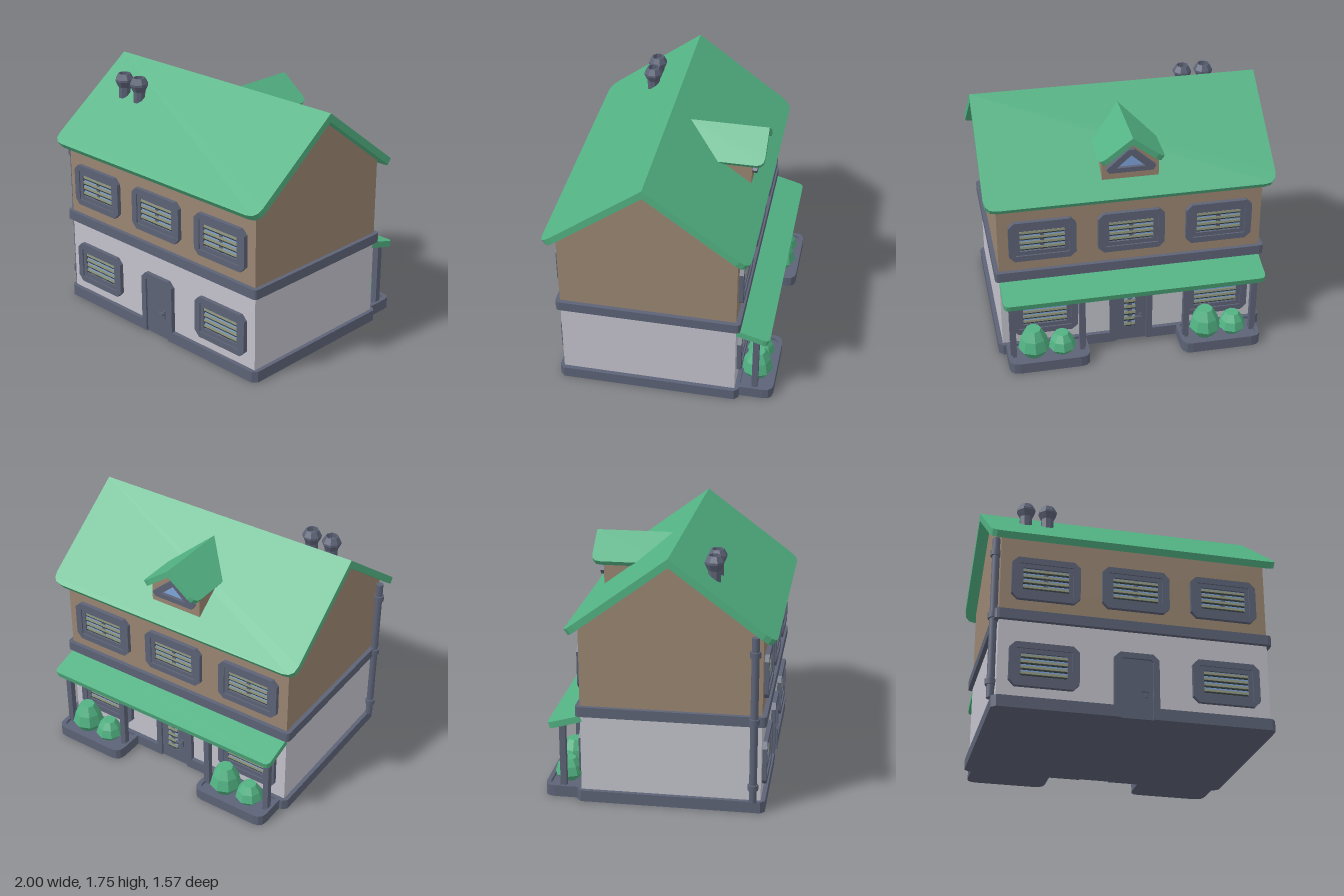
import * as THREE from 'three';

const mat = (name, color, side = THREE.FrontSide) => {
  const m = new THREE.MeshStandardMaterial({ color, side });
  m.name = name;
  return m;
};

export function createModel() {
  const green = mat('green', 0x52b283);
  const brown = mat('brown plaster', 0x9a8672);
  const white = mat('pale plaster', 0xc3c2cc);
  const grey = mat('slate grey', 0x5d6377);
  const glass = mat('glass blue', 0x7fa6dc);
  const slatMat = mat('blind olive', 0x8f957f);
  const dark = mat('blind shadow gap', 0x343d3c);

  const house = new THREE.Group();
  house.name = 'house';

  const add = (parent, name, geo, material, x = 0, y = 0, z = 0) => {
    const m = new THREE.Mesh(geo, material);
    m.name = name;
    m.position.set(x, y, z);
    parent.add(m);
    return m;
  };
  const group = (parent, name, x = 0, y = 0, z = 0) => {
    const g = new THREE.Group();
    g.name = name;
    g.position.set(x, y, z);
    parent.add(g);
    return g;
  };
  const box = (w, h, d) => new THREE.BoxGeometry(w, h, d);
  const poly = (pts) => new THREE.Shape(pts.map(([x, y]) => new THREE.Vector2(x, y)));
  const extrude = (shape, depth, curveSegments = 1) =>
    new THREE.ExtrudeGeometry(shape, { depth, bevelEnabled: false, curveSegments });
  // Flat plan shape (x, -z) raised upwards
  const plan = (shape, h) => extrude(shape, h, 3).rotateX(-Math.PI / 2);

  // Rectangle with bottom corners cut by c and top corners by d
  const rect = (x0, y0, x1, y1, c, d = c) => {
    const s = new THREE.Shape();
    s.moveTo(x0 + c, y0);
    s.lineTo(x1 - c, y0);
    if (c) s.quadraticCurveTo(x1, y0, x1, y0 + c);
    s.lineTo(x1, y1 - d);
    if (d) s.quadraticCurveTo(x1, y1, x1 - d, y1);
    s.lineTo(x0 + d, y1);
    if (d) s.quadraticCurveTo(x0, y1, x0, y1 - d);
    s.lineTo(x0, y0 + c);
    if (c) s.quadraticCurveTo(x0, y0, x0 + c, y0);
    return s;
  };
  const ring = (w, h, c, w2, h2, c2) => {
    const s = rect(-w, -h, w, h, c);
    s.holes.push(rect(-w2, -h2, w2, h2, c2));
    return s;
  };
  // Sloping roof sheet: top edge at the origin, falling towards +z
  const slab = (halfW, run, drop, t, c) =>
    extrude(rect(-halfW, -Math.hypot(run, drop), halfW, 0, c, 0), t, 3)
      .translate(0, 0, -t)
      .rotateX(Math.atan2(drop, run) - Math.PI / 2);

  // Walls
  add(house, 'lowerWalls', box(1.84, 0.61, 1.22), white, 0, 0.345, 0.09);
  const gable = poly([[-0.61, 0.65], [0.61, 0.65], [0.61, 1.245], [0, 1.698], [-0.61, 1.245]]);
  add(house, 'upperWalls', extrude(gable, 1.84).rotateY(Math.PI / 2), brown, -0.92, 0, 0.09);

  // Plinth, notched at both doors, and the band between the floors
  const plinth = poly([
    [-0.92, -0.64], [-0.11, -0.64], [-0.11, -0.61], [0.11, -0.61], [0.11, -0.64], [0.92, -0.64],
    [0.95, -0.61], [0.95, 0.61], [0.92, 0.64], [0.11, 0.64], [0.11, 0.61], [-0.11, 0.61],
    [-0.11, 0.64], [-0.92, 0.64], [-0.95, 0.61], [-0.95, -0.61],
  ]);
  add(house, 'plinth', plan(plinth, 0.08), grey, 0, 0, 0.09);
  add(house, 'floorBand', plan(rect(-0.95, -0.64, 0.95, 0.64, 0.03), 0.07), grey, 0, 0.62, 0.09);

  // Main roof
  for (const side of [0, 1]) {
    const r = add(house, side ? 'backRoof' : 'frontRoof', slab(1, 0.7, 0.52, 0.048, 0.085), green, 0, 1.75, 0.09);
    r.rotation.y = side * Math.PI;
  }

  // Glass with horizontal blinds
  const blinds = (parent, w, h, rows, mullion) => {
    add(parent, 'glass', box(w, h, 0.006), glass, 0, 0, 0.003);
    const step = h / rows;
    for (let i = 0; i < rows; i++) {
      const y = -h / 2 + step * (i + 0.5);
      add(parent, 'slat', box(w, step * 0.42, 0.007), slatMat, 0, y + step * 0.1, 0.0105).rotation.x = -0.12;
      add(parent, 'slatGap', box(w, step * 0.24, 0.005), dark, 0, y - step * 0.24, 0.0085);
    }
    if (mullion) add(parent, 'mullion', box(0.03, h, 0.007), grey, 0, 0, 0.007);
  };
  const windowAt = (parent, x, y, mullion) => {
    const g = group(parent, 'window', x, y);
    add(g, 'outerFrame', extrude(ring(0.232, 0.153, 0.04, 0.185, 0.11, 0), 0.03), grey);
    add(g, 'innerFrame', extrude(ring(0.186, 0.111, 0, 0.155, 0.08, 0), 0.02), grey);
    blinds(g, 0.312, 0.162, 4, mullion);
  };
  const doorAt = (parent, glazed) => {
    const g = group(parent, 'door');
    const frame = poly([
      [-0.153, 0], [-0.11, 0], [-0.11, 0.405], [-0.095, 0.42], [0.095, 0.42], [0.11, 0.405],
      [0.11, 0], [0.153, 0], [0.153, 0.42], [0.113, 0.46], [-0.113, 0.46], [-0.153, 0.42],
    ]);
    add(g, 'doorFrame', extrude(frame, 0.031), grey);
    add(g, 'doorPanel', box(0.22, 0.42, 0.016), grey, 0, 0.21, 0.008);
    add(g, 'handlePlate', box(0.022, 0.06, 0.01), grey, 0.065, 0.185, 0.02);
    add(g, 'handleLever', box(0.05, 0.016, 0.014), grey, 0.048, 0.193, 0.034);
    if (glazed) blinds(group(g, 'doorWindow', -0.01, 0.235, 0.016), 0.08, 0.25, 5, true);
  };

  // Both long faces, each built facing +z
  const front = group(house, 'frontFace', 0, 0, 0.7);
  const back = group(house, 'backFace', 0, 0, -0.52);
  back.rotation.y = Math.PI;
  for (const face of [front, back]) {
    for (const x of [-0.615, 0, 0.615]) windowAt(face, x, 0.927, true);
    for (const x of [-0.615, 0.615]) windowAt(face, x, 0.308, false);
    doorAt(face, face === back);
  }

  // Porch with planters, posts and bushes
  add(back, 'porchRoof', slab(0.92, 0.23, 0.065, 0.045, 0.04), green, 0, 0.615, 0);
  const bush = (parent, r, h, x) => {
    const pts = [[0.6, 0], [1, 0.3], [0.82, 0.68], [0.48, 1], [0, 1]].map(
      ([a, b]) => new THREE.Vector2(a * r, b * h));
    const geo = new THREE.LatheGeometry(pts, 8).toNonIndexed();
    geo.computeVertexNormals();
    add(parent, 'bush', geo, green, x, 0.06, 0.13);
  };
  for (const s of [-1, 1]) {
    const g = group(back, 'planter', s * 0.615);
    const rim = rect(-0.285, -0.265, 0.285, -0.02, 0.07, 0);
    rim.holes.push(rect(-0.255, -0.235, 0.255, -0.03, 0.05, 0));
    add(g, 'planterRim', plan(rim, 0.08), grey);
    add(g, 'planterFloor', plan(rect(-0.27, -0.25, 0.27, -0.02, 0.06, 0), 0.06), grey);
    for (const x of [-0.245, 0.245]) add(g, 'post', box(0.042, 0.49, 0.042), grey, x, 0.295, 0.135);
    bush(g, 0.112, 0.215, -0.1);
    bush(g, 0.1, 0.155, 0.1);
  }

  // Dormer
  const dormer = group(house, 'dormer');
  for (const s of [-1, 1]) {
    const r = add(dormer, 'dormerRoof', slab(0.2725, 0.225, 0.17, 0.04, 0.06), green, 0, 1.66, -0.3025);
    r.rotation.y = s * Math.PI / 2;
  }
  const dormerWall = poly([[-0.195, 1.25], [0.195, 1.25], [0.195, 1.475], [0, 1.62], [-0.195, 1.475]]);
  add(dormer, 'dormerWalls', extrude(dormerWall, 0.4), brown, 0, 0, -0.49);
  const dormerWindow = group(dormer, 'dormerWindow', 0, 1.38, -0.49);
  dormerWindow.rotation.y = Math.PI;
  const tri = poly([[-0.15, 0], [0.15, 0], [0.17, 0.03], [0.02, 0.165], [-0.02, 0.165], [-0.17, 0.03]]);
  tri.holes.push(poly([[-0.1, 0.035], [0.1, 0.035], [0, 0.125]]));
  add(dormerWindow, 'dormerFrame', extrude(tri, 0.032), grey);
  add(dormerWindow, 'dormerGlass', extrude(poly([[-0.11, 0.03], [0.11, 0.03], [0, 0.13]]), 0.008), glass);

  // Chimney pots, hollow at the top
  const pot = [[0.045, 1.48], [0.045, 1.605], [0.067, 1.65], [0.067, 1.665], [0.045, 1.705], [0.038, 1.705], [0.038, 1.67], [0, 1.67]];
  for (const x of [-0.705, -0.55]) {
    const geo = new THREE.LatheGeometry(pot.map(([r, y]) => new THREE.Vector2(r, y)), 8)
      .rotateY(Math.PI / 8).toNonIndexed();
    geo.computeVertexNormals();
    add(house, 'chimneyPot', geo, grey, x, 0, 0.35);
  }

  // Drainpipe with brackets
  add(house, 'drainpipe', new THREE.CylinderGeometry(0.026, 0.026, 1.16, 8), grey, -0.949, 0.66, 0.65);
  for (const y of [0.19, 0.66, 1.125])
    add(house, 'pipeBracket', new THREE.CylinderGeometry(0.036, 0.036, 0.04, 8), grey, -0.951, y, 0.65);

  return house;
}
